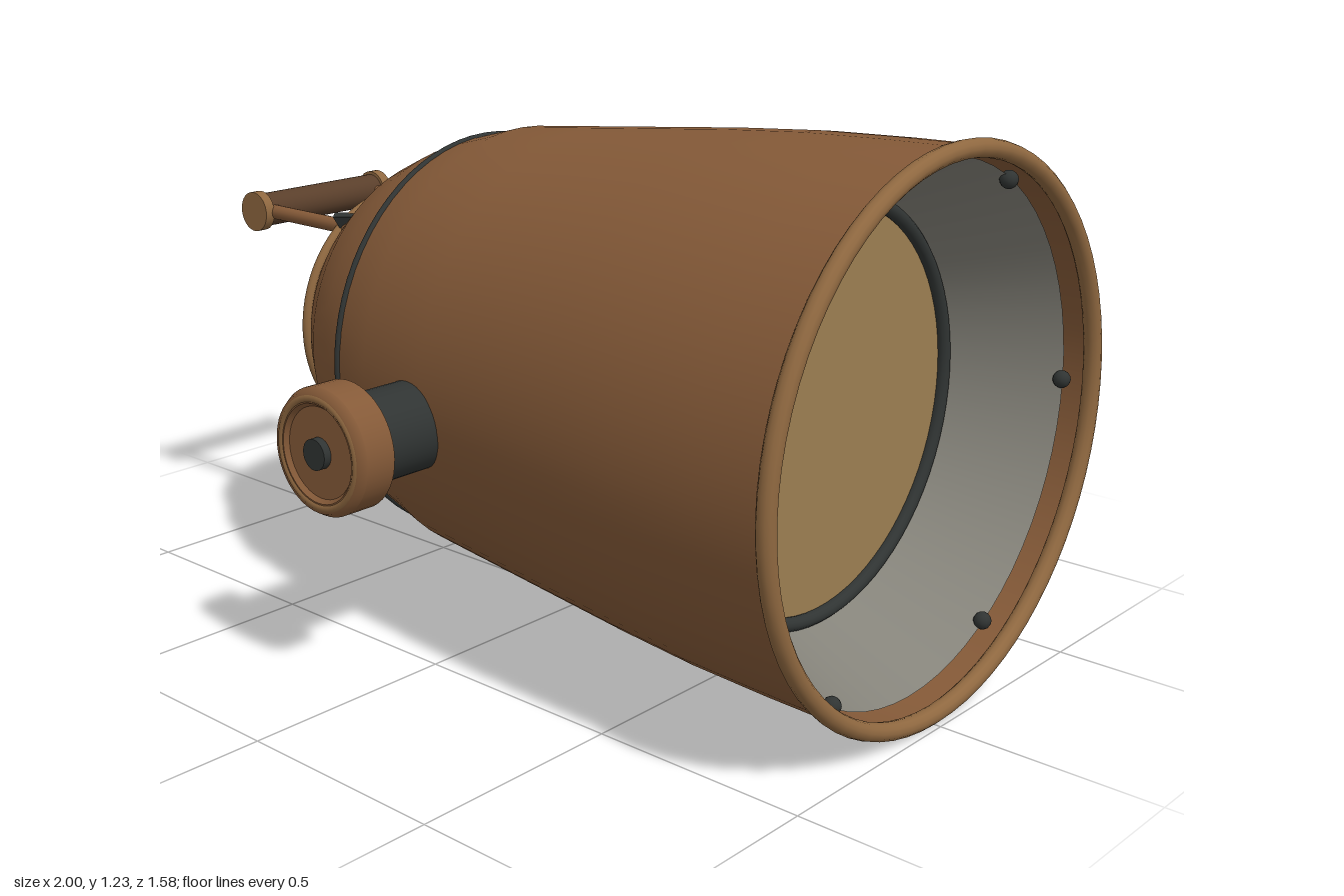
import * as THREE from 'three';

const mat = (color, side = THREE.FrontSide) => new THREE.MeshStandardMaterial({ color, side });
const AXIS_Y = 0.625;

export function createModel() {
  const root = new THREE.Group();
  const brown = mat(0x855a38);
  const shellMat = mat(0x855a38, THREE.DoubleSide);
  const trim = mat(0x8f6840);
  const tan = mat(0x9c7f52, THREE.DoubleSide);
  const dark = mat(0x303433);
  const liner = mat(0x85837a, THREE.DoubleSide);
  const gripMat = mat(0x5a3f2b);

  const add = (parent, name, geo, material, x = 0, y = 0, z = 0) => {
    const mesh = new THREE.Mesh(geo, material);
    mesh.name = name;
    mesh.position.set(x, y, z);
    parent.add(mesh);
    return mesh;
  };
  // Turned parts: points are [radius, distance], spun about x or z
  const lathe = (pts, seg = 64) => new THREE.LatheGeometry(pts.map(p => new THREE.Vector2(...p)), seg);
  const alongX = geo => geo.rotateZ(-Math.PI / 2);
  const alongZ = geo => geo.rotateX(Math.PI / 2);
  const hoop = (r, tube) => new THREE.TorusGeometry(r, tube, 12, 72).rotateY(Math.PI / 2);

  // Barrel lying along x
  const barrel = new THREE.Group();
  barrel.name = 'barrel';
  barrel.position.y = AXIS_Y;
  root.add(barrel);
  add(barrel, 'shell', alongX(lathe([
    [0, -0.72], [0.08, -0.72], [0.17, -0.70], [0.29, -0.645], [0.345, -0.58], [0.405, -0.50], [0.448, -0.41],
    [0.478, -0.325], [0.512, -0.2], [0.532, 0], [0.552, 0.2], [0.572, 0.4], [0.588, 0.6], [0.596, 0.8], [0.6, 0.98],
  ])), shellMat);
  add(barrel, 'rim', hoop(0.595, 0.02), trim, 0.978);
  add(barrel, 'band', hoop(0.477, 0.009), dark, -0.325);
  add(barrel, 'backRing', hoop(0.3, 0.013), trim, -0.645);
  add(barrel, 'backCap', alongX(new THREE.CylinderGeometry(0.073, 0.073, 0.008, 40)), tan, -0.72);

  // Inside of the mouth
  add(barrel, 'liner', alongX(lathe([[0.465, 0.67], [0.572, 0.92]])), liner);
  add(barrel, 'lens', new THREE.CircleGeometry(0.455, 64).rotateY(Math.PI / 2), tan, 0.675);
  add(barrel, 'lensRing', hoop(0.458, 0.016), dark, 0.68);
  for (let i = 0; i < 6; i++) {
    const a = i * Math.PI / 3;
    add(barrel, 'bolt', new THREE.SphereGeometry(0.02, 12, 8), dark, 0.92, 0.567 * Math.sin(a), 0.567 * Math.cos(a));
  }

  // Side mounts with knobs, one per side
  for (const side of [1, -1]) {
    const mount = new THREE.Group();
    mount.name = side > 0 ? 'frontMount' : 'backMount';
    mount.position.set(-0.04, 0.567, 0);
    if (side < 0) mount.rotation.y = Math.PI;
    root.add(mount);
    add(mount, 'axle', alongZ(new THREE.CylinderGeometry(0.1, 0.1, 0.225, 40)), dark, 0, 0, 0.5625);
    add(mount, 'knob', alongZ(lathe([
      [0, 0.692], [0.14, 0.692], [0.14, 0.692], [0.14, 0.765], [0.14, 0.765], [0.13, 0.782],
      [0.108, 0.782], [0.108, 0.782], [0.1, 0.772], [0.1, 0.772], [0, 0.772],
    ], 48)), brown);
    add(mount, 'knobRing', new THREE.TorusGeometry(0.118, 0.012, 10, 48), trim, 0, 0, 0.773);
    add(mount, 'knobPin', alongZ(new THREE.CylinderGeometry(0.034, 0.034, 0.03, 24)), dark, 0, 0, 0.775);
  }

  // Handle behind the barrel
  const handle = new THREE.Group();
  handle.name = 'handle';
  handle.position.y = 0.865;
  root.add(handle);
  add(handle, 'grip', alongZ(new THREE.CylinderGeometry(0.042, 0.042, 0.38, 32)), gripMat, -0.95);
  for (const side of [1, -1]) {
    add(handle, 'gripCap', alongZ(new THREE.CylinderGeometry(0.05, 0.05, 0.026, 32)), trim, -0.95, 0, side * 0.198);
    add(handle, 'arm', alongX(new THREE.CylinderGeometry(0.018, 0.018, 0.33, 16)), brown, -0.785, 0, side * 0.175);
    const bracketMat = mat(0x303433);
    bracketMat.flatShading = true;
    add(handle, 'bracket', new THREE.ConeGeometry(0.04, 0.06, 4).rotateX(Math.PI), bracketMat, -0.637, 0, side * 0.175);
  }
  return root;
}
